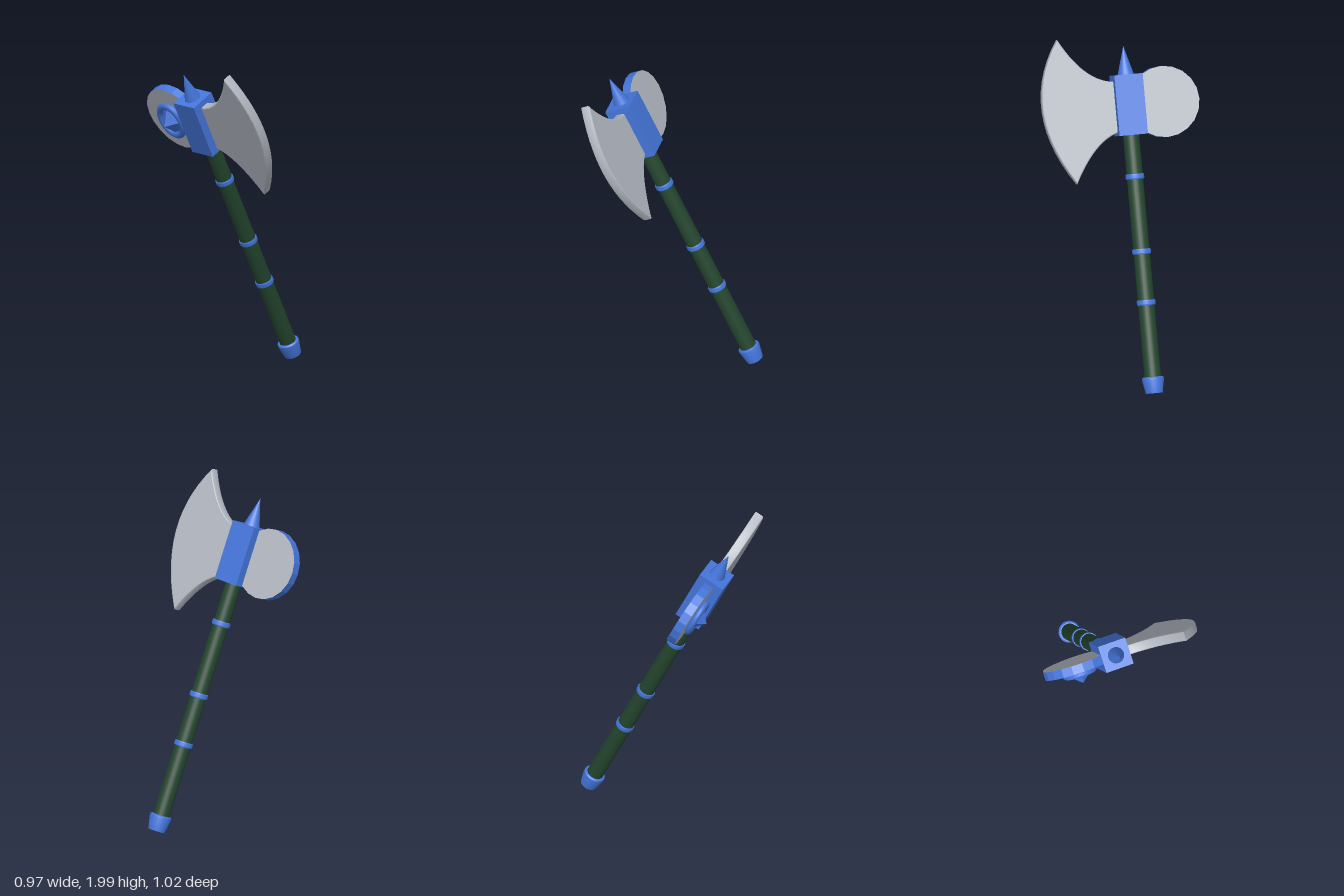
import * as THREE from 'three';
import { toCreasedNormals } from 'three/addons/utils/BufferGeometryUtils.js';

export function createModel() {
  const mat = (name, color) => {
    const m = new THREE.MeshStandardMaterial({ color });
    m.name = name;
    return m;
  };
  const blue = mat('blue metal', 0x4475da);
  const steel = mat('steel', 0xb2b7c0);
  const green = mat('dark green grip', 0x23452e);

  // The axe is built upright around the centre of its head, then tilted forward
  const axe = new THREE.Group();
  axe.name = 'axe';
  axe.position.set(0, 1.6, 0.2975);
  axe.rotation.x = 0.452;

  const add = (name, geometry, material, x = 0, y = 0, z = 0) => {
    const mesh = new THREE.Mesh(geometry, material);
    mesh.name = name;
    mesh.position.set(x, y, z);
    axe.add(mesh);
    return mesh;
  };
  const lathe = (points) => toCreasedNormals(
    new THREE.LatheGeometry(points.map(([r, y]) => new THREE.Vector2(r, y)), 24), 0.5);

  const shaftX = -0.05;

  // Handle with three bands and a flared pommel
  add('handle', new THREE.CylinderGeometry(0.049, 0.051, 1.6, 24), green, shaftX, -0.9);
  const band = [[0.045, -0.016], [0.054, -0.016], [0.057, -0.01], [0.057, 0.01], [0.054, 0.016], [0.045, 0.016]];
  for (const y of [-0.435, -0.89, -1.2]) add('handleBand', lathe(band), blue, shaftX, y);
  add('pommel', lathe([[0, -1.75], [0.052, -1.75], [0.067, -1.668], [0.066, -1.656], [0.058, -1.65], [0.045, -1.65]]),
    blue, shaftX);

  // Head block and top spike
  add('headBlock', new THREE.BoxGeometry(0.175, 0.367, 0.167), blue, -0.0515);
  add('topSpike', new THREE.ConeGeometry(0.05, 0.175, 24), blue, shaftX, 0.27);

  // Flared blade with a slim bevel
  const outline = new THREE.Shape();
  outline.moveTo(-0.02, -0.16);
  outline.lineTo(0.035, -0.165);
  outline.quadraticCurveTo(0.18, -0.205, 0.31, -0.452);
  outline.quadraticCurveTo(0.632, 0.015, 0.355, 0.428);
  outline.quadraticCurveTo(0.21, 0.165, 0.035, 0.147);
  outline.lineTo(-0.02, 0.147);
  const blade = new THREE.ExtrudeGeometry(outline, {
    depth: 0.04, curveSegments: 14, bevelThickness: 0.01, bevelSize: 0.008, bevelOffset: -0.008, bevelSegments: 2,
  });
  add('blade', toCreasedNormals(blade, 0.4), steel, 0, 0, -0.02);

  // Round counterweight: blue rim, steel faces
  const disc = new THREE.CylinderGeometry(0.216, 0.216, 0.055, 20);
  disc.rotateX(Math.PI / 2);
  add('counterweight', toCreasedNormals(disc, 0.1), [blue, steel, steel], -0.267);

  // Oval ring and faceted gem on the front of the counterweight
  const ring = add('gemRing', new THREE.TorusGeometry(0.088, 0.02, 12, 32), blue, -0.27, 0, 0.048);
  ring.scale.y = 1.2;
  const gem = add('gem', new THREE.OctahedronGeometry(1), blue, -0.27, 0, 0.03);
  gem.scale.set(0.1, 0.12, 0.086);
  // Keep the gem's back half inside the disc
  const p = gem.geometry.attributes.position;
  for (let i = 0; i < p.count; i++) p.setZ(i, Math.max(p.getZ(i), -0.3));
  gem.geometry.computeVertexNormals();

  const model = new THREE.Group();
  model.name = 'battleAxe';
  model.add(axe);
  return model;
}
